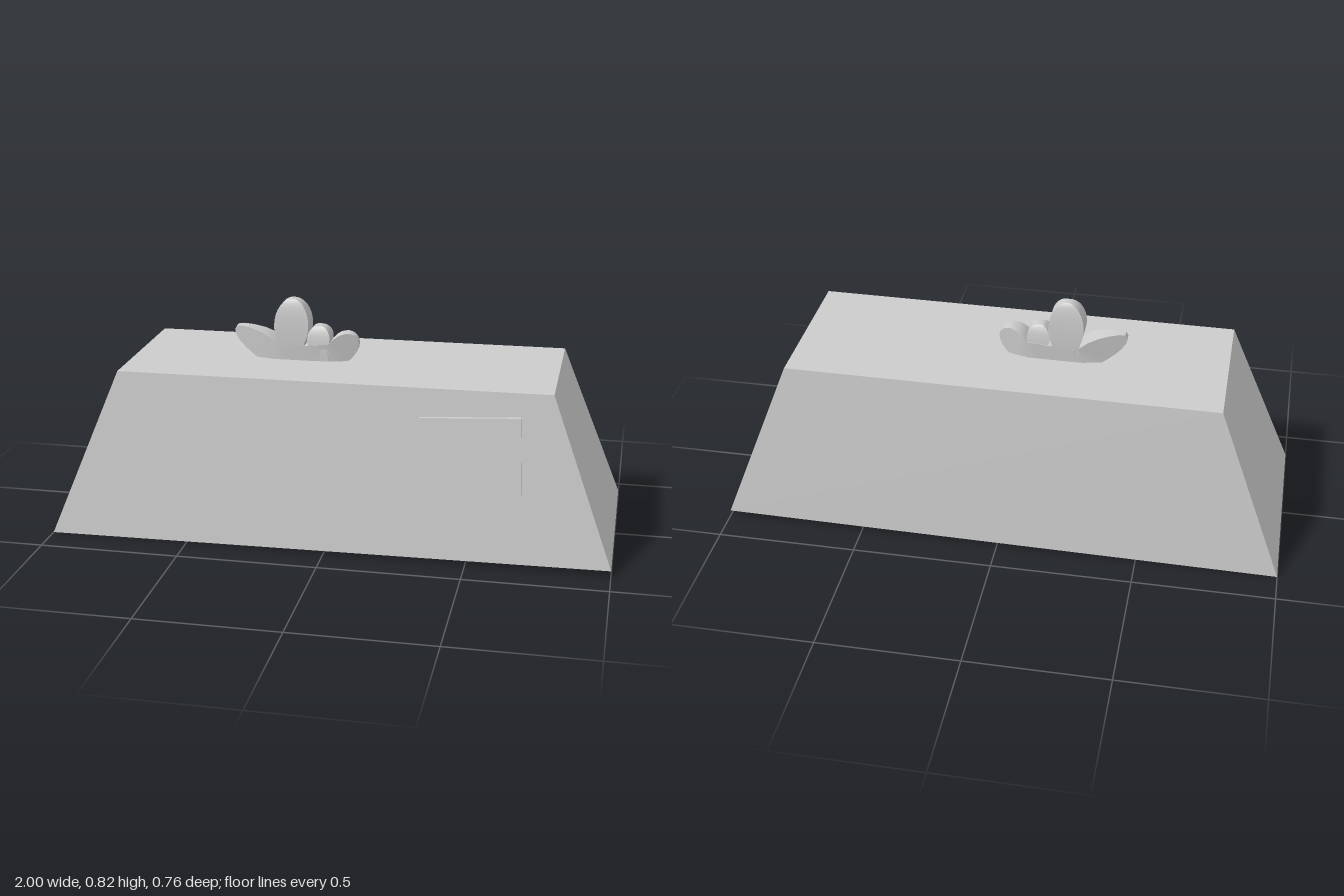
import * as THREE from 'three';
import { toCreasedNormals } from 'three/addons/utils/BufferGeometryUtils.js';

const material = new THREE.MeshStandardMaterial({ color: 0xcccccc });

// Skins four-cornered rings (front left, front right, back right, back left) and caps both ends
function loft(name, rings) {
  const index = [];
  for (let r = 0; r < rings.length - 1; r++) {
    for (let k = 0; k < 4; k++) {
      const a = r * 4 + k, b = r * 4 + (k + 1) % 4;
      index.push(a, b, b + 4, a, b + 4, a + 4);
    }
  }
  const t = (rings.length - 1) * 4;
  index.push(0, 2, 1, 0, 3, 2, t, t + 1, t + 2, t, t + 2, t + 3);
  const geometry = new THREE.BufferGeometry();
  geometry.setAttribute('position', new THREE.Float32BufferAttribute(rings.flat(2), 3));
  geometry.setIndex(index);
  const mesh = new THREE.Mesh(toCreasedNormals(geometry, 0.6), material);
  mesh.name = name;
  return mesh;
}

// Ornament half thickness: tapers to both ends in x and arches inward towards the tip in y
function halfDepth(x, y, top) {
  const out = Math.max(-0.25 - x, (x + 0.05) * 1.43, 0) / 0.15;
  const t = Math.min(1, Math.max(0, (y - 0.6) / (top - 0.6)));
  const arch = 0.013 + 0.034 * Math.sqrt(1 - t * t);
  return Math.max(0.012, Math.min(0.046 - 0.033 * out, arch));
}

// A petal from rows of left and right edge points, base to tip
function petal(name, top, rows) {
  const zc = -0.007;
  return loft(name, rows.map(([xl, yl, xr, yr]) => {
    const dl = halfDepth(xl, yl, top), dr = halfDepth(xr, yr, top);
    return [[xl, yl, zc + dl], [xr, yr, zc + dr], [xr, yr, zc - dr], [xl, yl, zc - dl]];
  }));
}

// An upright petal of elliptical outline
function uprightPetal(name, cx, cy, halfWidth, top, baseHalf) {
  const rows = [[cx - baseHalf, 0.59, cx + baseHalf, 0.59]];
  for (let i = 0; i <= 12; i++) {
    const a = -0.7 + (i / 12) * (Math.PI / 2 + 0.6);
    const w = halfWidth * Math.cos(a), y = cy + (top - cy) * Math.sin(a);
    rows.push([cx - w, y, cx + w, y]);
  }
  return petal(name, top, rows);
}

export function createModel() {
  const model = new THREE.Group();

  // Tapered block, slightly skewed at its left end
  model.add(loft('body', [
    [[-1, 0, 0.38], [1, 0.02, 0.38], [1, 0.02, -0.38], [-1, 0, -0.38]],
    [[-0.763, 0.597, 0.282], [0.777, 0.604, 0.282], [0.777, 0.604, -0.284], [-0.763, 0.597, -0.284]],
  ]));

  // Thin plate on the sloping front
  model.add(loft('frontPlate', [
    [[0.338, 0.258, 0.352], [0.685, 0.26, 0.352], [0.685, 0.26, 0.33], [0.338, 0.258, 0.33]],
    [[0.322, 0.503, 0.311], [0.67, 0.522, 0.308], [0.67, 0.522, 0.288], [0.322, 0.503, 0.289]],
  ]));

  // Fan of four petals on the top
  const ornament = new THREE.Group();
  ornament.name = 'topOrnament';
  ornament.add(petal('rightPetal', 0.82, [
    [-0.18, 0.59, -0.18, 0.65],
    [-0.25, 0.59, -0.22, 0.645],
    [-0.312, 0.597, -0.238, 0.658],
    [-0.337, 0.613, -0.265, 0.679],
    [-0.362, 0.633, -0.3, 0.695],
    [-0.385, 0.655, -0.34, 0.706],
    [-0.4, 0.678, -0.375, 0.711],
    [-0.403, 0.695, -0.395, 0.709],
  ]));
  ornament.add(petal('leftPetal', 0.82, [
    [-0.18, 0.65, -0.18, 0.59],
    [-0.09, 0.66, -0.09, 0.59],
    [-0.05, 0.663, -0.03, 0.592],
    [-0.035, 0.681, 0.015, 0.598],
    [-0.015, 0.695, 0.032, 0.611],
    [0.012, 0.703, 0.044, 0.628],
    [0.035, 0.698, 0.052, 0.646],
    [0.05, 0.684, 0.056, 0.665],
  ]));
  ornament.add(uprightPetal('tallPetal', -0.187, 0.725, 0.063, 0.82, 0.05));
  ornament.add(uprightPetal('smallPetal', -0.088, 0.68, 0.041, 0.726, 0.04));
  model.add(ornament);

  return model;
}
